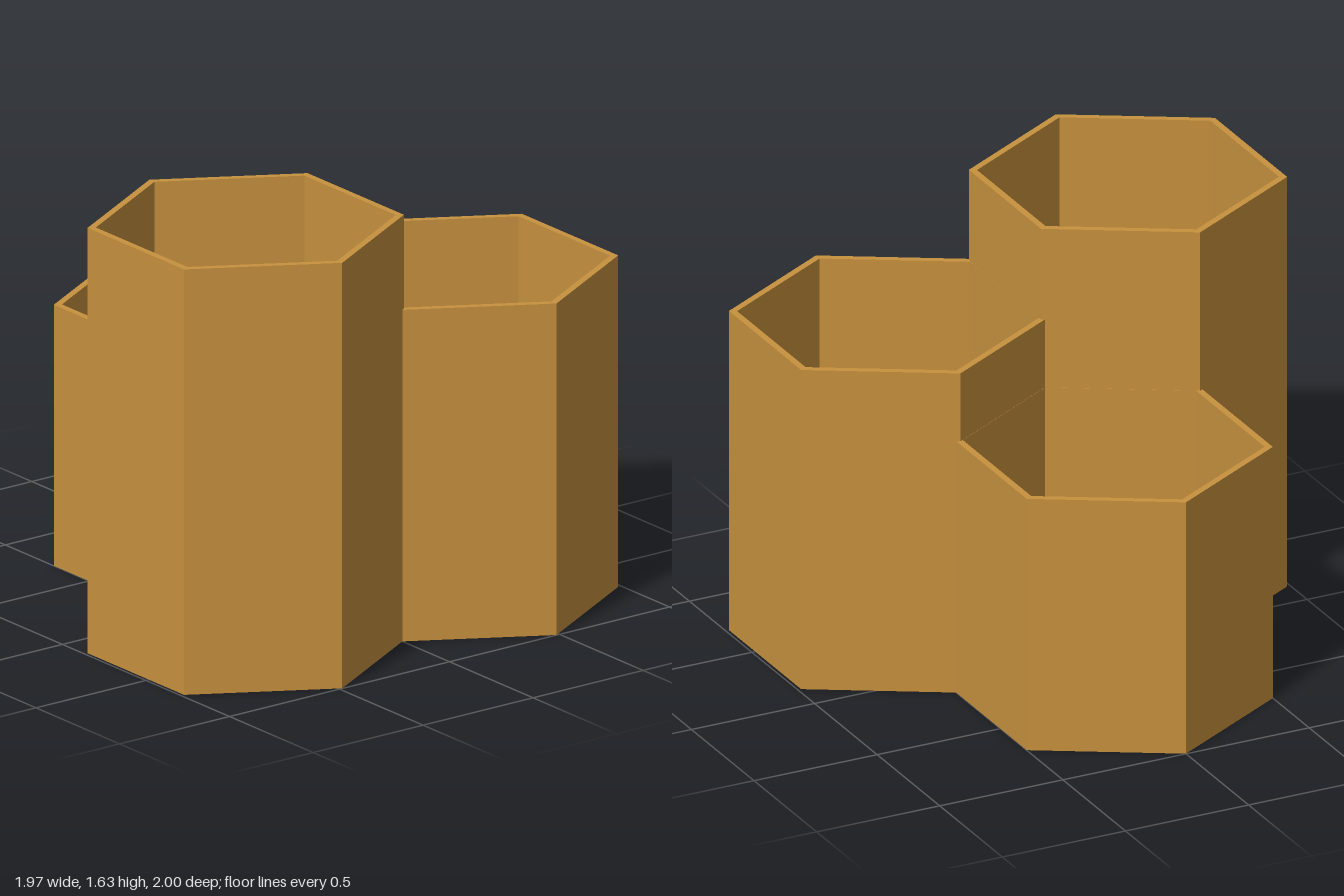
import * as THREE from 'three';

const OUTER = 0.577; // outer corner radius of a cell
const INNER = 0.547; // inner corner radius
const FLOOR = 0.03;  // floor thickness

// One open-topped hexagonal cup, with corners pointing along z
function hexCup(name, height, x, z, material) {
  const profile = [
    [0, 0], [OUTER, 0], [OUTER, height], [INNER, height], [INNER, FLOOR], [0, FLOOR],
  ].map(([r, y]) => new THREE.Vector2(r, y));
  const cup = new THREE.Mesh(new THREE.LatheGeometry(profile, 6), material);
  cup.name = name;
  cup.position.set(x, 0, z);
  return cup;
}

export function createModel() {
  const group = new THREE.Group();
  group.name = 'hexagonalOrganizer';
  const amber = new THREE.MeshStandardMaterial({ color: 0xc8923e, flatShading: true });
  amber.name = 'amber';

  // Three cups nested so that neighbours share a wall
  group.add(
    hexCup('tallCup', 1.63, -0.487, 0.422, amber),
    hexCup('middleCup', 1.27, 0.487, 0.422, amber),
    hexCup('shortCup', 1.0, 0, -0.422, amber),
  );
  return group;
}
